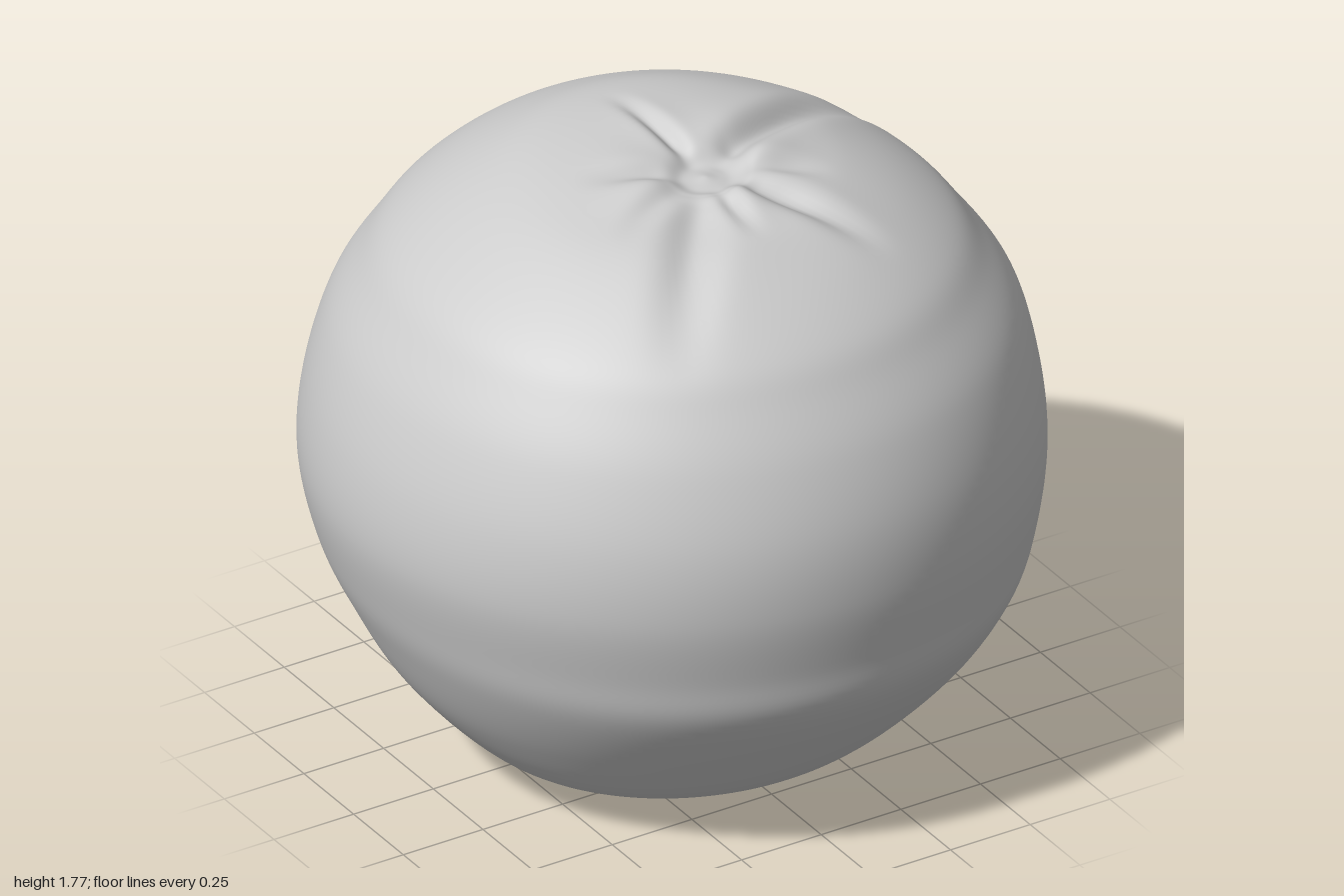
import * as THREE from 'three';
import { mergeVertices } from 'three/addons/utils/BufferGeometryUtils.js';

// Rings from the stem dent below to the crown above:
// height, centre x, centre z, radius x, radius z, lift toward the back
const RINGS = [
  [0.07, -0.15, -0.04, 0, 0, 0],
  [0.065, -0.15, -0.04, 0.06, 0.05, 0],
  [0.015, -0.15, -0.04, 0.11, 0.09, 0],
  [0.008, -0.12, 0.04, 0.2, 0.17, 0.04],
  [0.05, -0.03, 0.1, 0.42, 0.37, 0],
  [0.12, -0.02, 0.095, 0.6, 0.535, 0],
  [0.3, 0.01, 0.03, 0.8, 0.77, 0],
  [0.5, 0.01, 0.02, 0.91, 0.92, 0],
  [0.65, 0.01, 0, 0.968, 0.973, 0],
  [0.85, 0, 0, 1, 1, 0],
  [1.05, 0, 0, 0.983, 0.983, 0],
  [1.25, 0.01, -0.01, 0.928, 0.923, 0],
  [1.4, 0.005, -0.01, 0.835, 0.83, 0],
  [1.5, 0.005, -0.015, 0.755, 0.755, 0],
  [1.6, 0.005, -0.03, 0.625, 0.63, 0],
  [1.68, 0, -0.03, 0.48, 0.48, 0.02],
  [1.727, 0, -0.02, 0.34, 0.34, 0.07],
  [1.748, 0.02, 0.05, 0.2, 0.2, 0.11],
  [1.735, 0.03, 0.11, 0.12, 0.11, 0.1],
  [1.705, 0.03, 0.12, 0.06, 0.06, 0],
  [1.712, 0.03, 0.12, 0, 0, 0],
];

// Creases running out from the crown: angle in degrees, length, depth, half width
const CREASES = [
  [-25, 0.85, 0.06, 0.05],
  [-94, 0.45, 0.035, 0.028],
  [52, 0.55, 0.045, 0.045],
  [128, 0.72, 0.045, 0.07],
  [95, 0.32, 0.03, 0.03],
  [20, 0.36, 0.03, 0.04],
  [160, 0.4, 0.025, 0.04],
  [200, 0.36, 0.03, 0.04],
];
const CROWN = new THREE.Vector2(0.03, 0.12);
const CORE = new THREE.Vector3(0, 0.85, 0);

function creaseDepth(x, z) {
  let depth = 0;
  for (const [deg, length, deep, width] of CREASES) {
    const a = THREE.MathUtils.degToRad(deg);
    const dx = x - CROWN.x, dz = z - CROWN.y;
    const along = dx * Math.cos(a) + dz * Math.sin(a);
    const across = -dx * Math.sin(a) + dz * Math.cos(a);
    if (along <= 0 || along >= length) continue;
    const fade = THREE.MathUtils.smoothstep(along, 0.04, 0.16)
      * (1 - THREE.MathUtils.smoothstep(along, length * 0.45, length));
    // a sharp valley with a slight swelling on both sides
    const s = (across / width) ** 2;
    depth += deep * fade * (Math.exp(-s) - 0.3 * Math.exp(-s / 6));
  }
  return depth;
}

function fruitGeometry(rows, columns) {
  const centres = new THREE.CatmullRomCurve3(
    RINGS.map(r => new THREE.Vector3(r[1], r[0], r[2])), false, 'catmullrom', 0.5);
  const radii = new THREE.CatmullRomCurve3(
    RINGS.map(r => new THREE.Vector3(r[3], r[5], r[4])), false, 'catmullrom', 0.5);
  const positions = [], index = [];
  const p = new THREE.Vector3();

  for (let i = 0; i <= rows; i++) {
    const c = centres.getPoint(i / rows), r = radii.getPoint(i / rows);
    for (let j = 0; j < columns; j++) {
      const a = j / columns * Math.PI * 2;
      const dx = r.x * Math.cos(a), dz = r.z * Math.sin(a);
      p.set(c.x + dx, c.y - r.y * dz, c.z + dz);
      // press the creases toward the core
      if (p.y > 1.2) {
        const pull = CORE.clone().sub(p).normalize();
        p.addScaledVector(pull, creaseDepth(p.x, p.z));
      }
      positions.push(p.x, Math.max(p.y, 0), p.z);
      if (i < rows) {
        const k = i * columns + j, n = i * columns + (j + 1) % columns;
        if (i < rows - 1) index.push(k, k + columns, n + columns);
        if (i > 0) index.push(k, n + columns, n);
      }
    }
  }
  const geometry = new THREE.BufferGeometry();
  geometry.setAttribute('position', new THREE.Float32BufferAttribute(positions, 3));
  geometry.setIndex(index);
  const welded = mergeVertices(geometry, 1e-5);
  welded.computeVertexNormals();
  return welded;
}

export function createModel() {
  const group = new THREE.Group();
  group.name = 'citrusFruit';
  const peel = new THREE.Mesh(
    fruitGeometry(160, 160),
    new THREE.MeshStandardMaterial({ color: 0xcccccc }));
  peel.name = 'peel';
  group.add(peel);
  return group;
}
